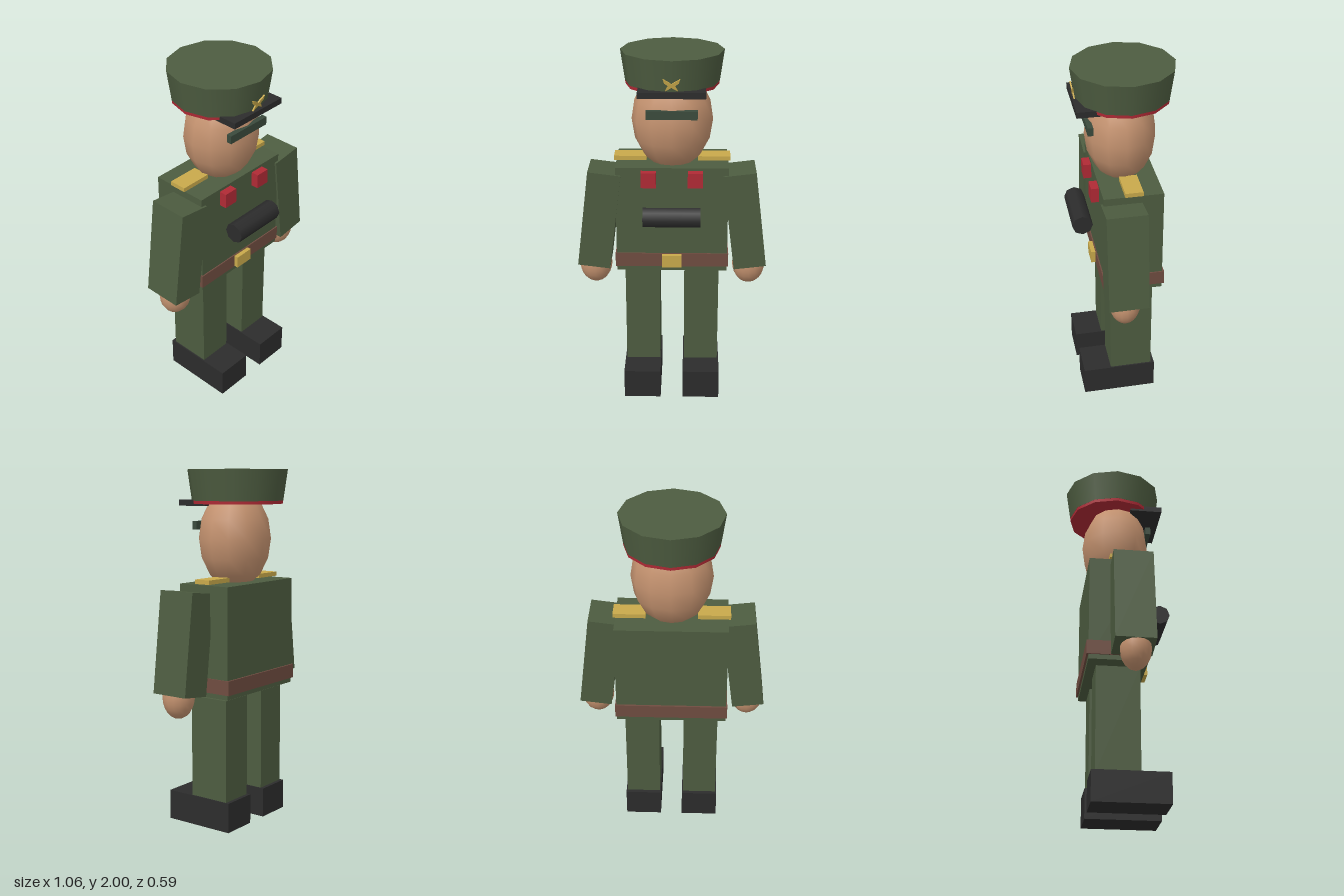
import * as THREE from 'three';

const mat = (name, color) => {
  const m = new THREE.MeshStandardMaterial({ color });
  m.name = name;
  return m;
};

export function createModel() {
  const green = mat('uniformGreen', 0x4d5c40);
  const black = mat('bootBlack', 0x2c2c2c);
  const skin = mat('skin', 0xc4926f);
  const red = mat('red', 0xb02a35);
  const gold = mat('gold', 0xc8a94b);
  const brown = mat('beltBrown', 0x6f4c40);
  const lens = mat('darkLens', 0x3a4a3c);

  const model = new THREE.Group();
  model.name = 'officer';

  const add = (name, geometry, material, x, y, z) => {
    const mesh = new THREE.Mesh(geometry, material);
    mesh.name = name;
    mesh.position.set(x, y, z);
    model.add(mesh);
    return mesh;
  };
  const box = (name, material, w, h, d, x, y, z) =>
    add(name, new THREE.BoxGeometry(w, h, d), material, x, y, z);
  const ellipsoid = (name, material, rx, ry, rz, x, y, z, ws, hs) =>
    add(name, new THREE.SphereGeometry(1, ws, hs).scale(rx, ry, rz), material, x, y, z);

  // Torso and belt
  box('torso', green, 0.62, 0.614, 0.325, 0, 1.075, -0.014);
  box('belt', brown, 0.634, 0.08, 0.343, 0, 0.835, -0.016);
  box('beltBuckle', gold, 0.11, 0.072, 0.04, 0, 0.835, 0.16);

  // Paired parts: legs, boots, arms, hands, shoulder boards, collar tabs
  for (const [side, s] of [['left', 1], ['right', -1]]) {
    box(side + 'Leg', green, 0.196, 0.6, 0.24, s * 0.168, 0.45, -0.012);
    box(side + 'Boot', black, 0.21, 0.17, 0.42, s * 0.169, 0.085, 0.057);
    box(side + 'Arm', green, 0.182, 0.56, 0.22, s * 0.405, 1.07, 0.05).rotation.z = s * 0.125;
    ellipsoid(side + 'Hand', skin, 0.093, 0.12, 0.085, s * 0.437, 0.78, 0.06, 16, 12);
    box(side + 'ShoulderBoard', gold, 0.18, 0.024, 0.098, s * 0.232, 1.4, -0.014);
    box(side + 'CollarTab', red, 0.083, 0.085, 0.05, s * 0.128, 1.324, 0.167);
  }

  // Black roll held in front of the chest
  const roll = new THREE.CylinderGeometry(0.057, 0.057, 0.314, 8).rotateZ(Math.PI / 2);
  add('chestRoll', roll, black, 0, 1.13, 0.24);

  // Head and glasses
  ellipsoid('head', skin, 0.223, 0.284, 0.195, 0, 1.62, 0.004, 12, 8);
  box('glasses', lens, 0.274, 0.046, 0.03, 0, 1.692, 0.183);

  // Cap: flared crown, band and visor
  add('capCrown', new THREE.CylinderGeometry(0.28, 0.256, 0.17, 12), green, 0, 1.915, -0.013);
  add('capBand', new THREE.CylinderGeometry(0.256, 0.254, 0.025, 12), red, 0, 1.825, -0.013);
  box('capVisor', black, 0.358, 0.033, 0.184, 0, 1.817, 0.168);

  // Winged badge on the cap front
  const badge = new THREE.Shape([
    [-0.045, 0.033], [-0.014, 0.015], [0, 0.004], [0.014, 0.015], [0.045, 0.033],
    [0.038, 0.01], [0.018, -0.004], [0.034, -0.034], [0, -0.014],
    [-0.034, -0.034], [-0.018, -0.004], [-0.038, 0.01],
  ].reverse().map(([x, y]) => new THREE.Vector2(x, y)));
  const badgeGeo = new THREE.ExtrudeGeometry(badge, { depth: 0.008, bevelEnabled: false });
  add('capBadge', badgeGeo, gold, 0, 1.873, 0.249).rotation.x = 0.14;

  return model;
}
